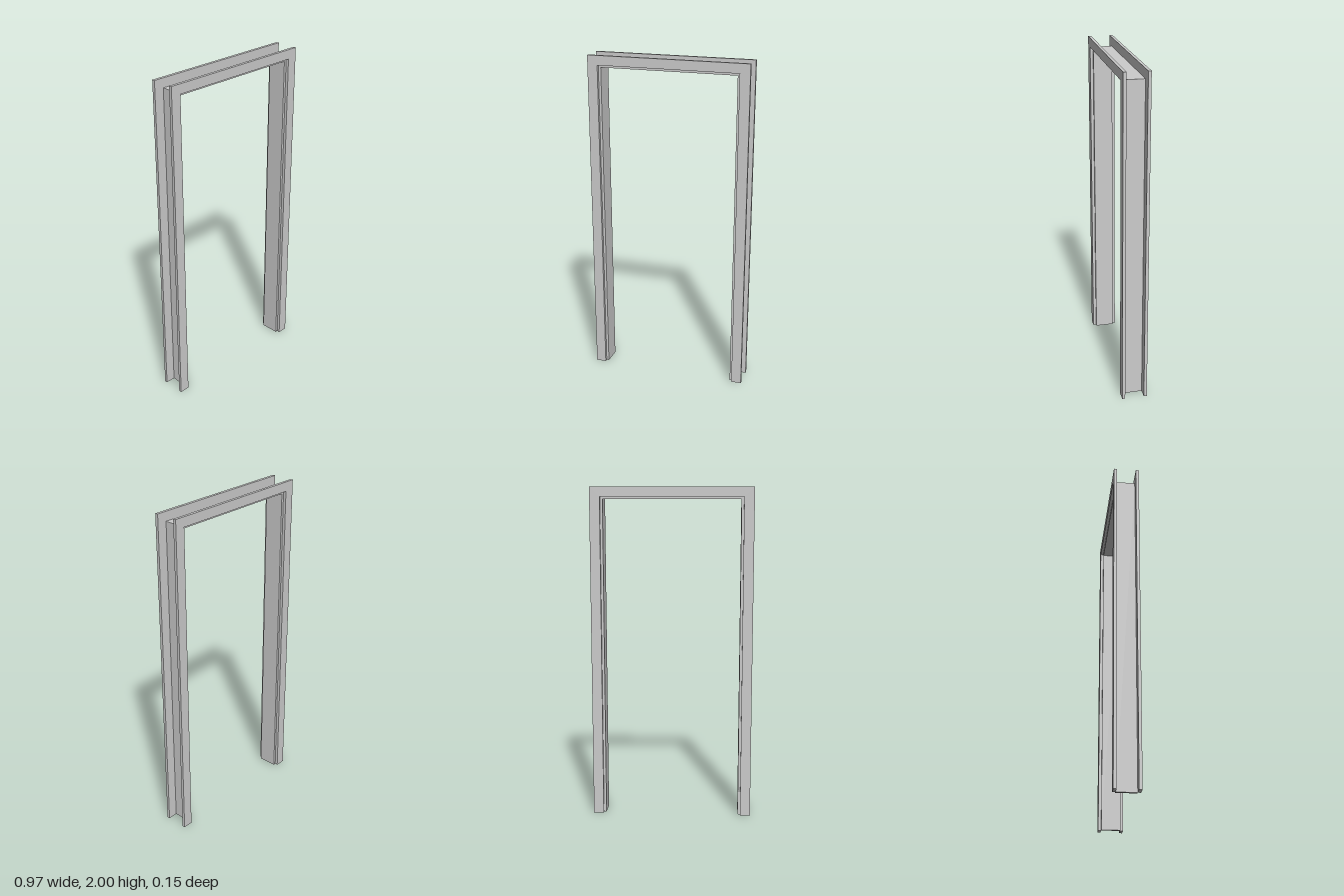
import * as THREE from 'three';

const material = new THREE.MeshStandardMaterial({ color: 0xcccccc, flatShading: true });

// Upside-down U (two legs and a head) extruded along z, centred on z.
function arch(name, outerX, outerY, innerX, innerY, depth, z) {
  const shape = new THREE.Shape([
    [-outerX, 0], [-innerX, 0], [-innerX, innerY], [innerX, innerY],
    [innerX, 0], [outerX, 0], [outerX, outerY], [-outerX, outerY],
  ].map(([x, y]) => new THREE.Vector2(x, y)));
  const geometry = new THREE.ExtrudeGeometry(shape, { depth, bevelEnabled: false });
  geometry.translate(0, 0, z - depth / 2);
  const mesh = new THREE.Mesh(geometry, material);
  mesh.name = name;
  return mesh;
}

export function createModel() {
  const group = new THREE.Group();
  group.name = 'doorFrame';

  // Thin lining of the opening
  group.add(arch('jambLining', 0.426, 1.945, 0.409, 1.928, 0.116, 0));

  // Flat trim on both faces, set back slightly from the lining's inner edge
  for (const [name, side] of [['frontCasing', 1], ['backCasing', -1]]) {
    group.add(arch(name, 0.485, 2, 0.424, 1.943, 0.018, side * 0.067));
  }
  return group;
}
